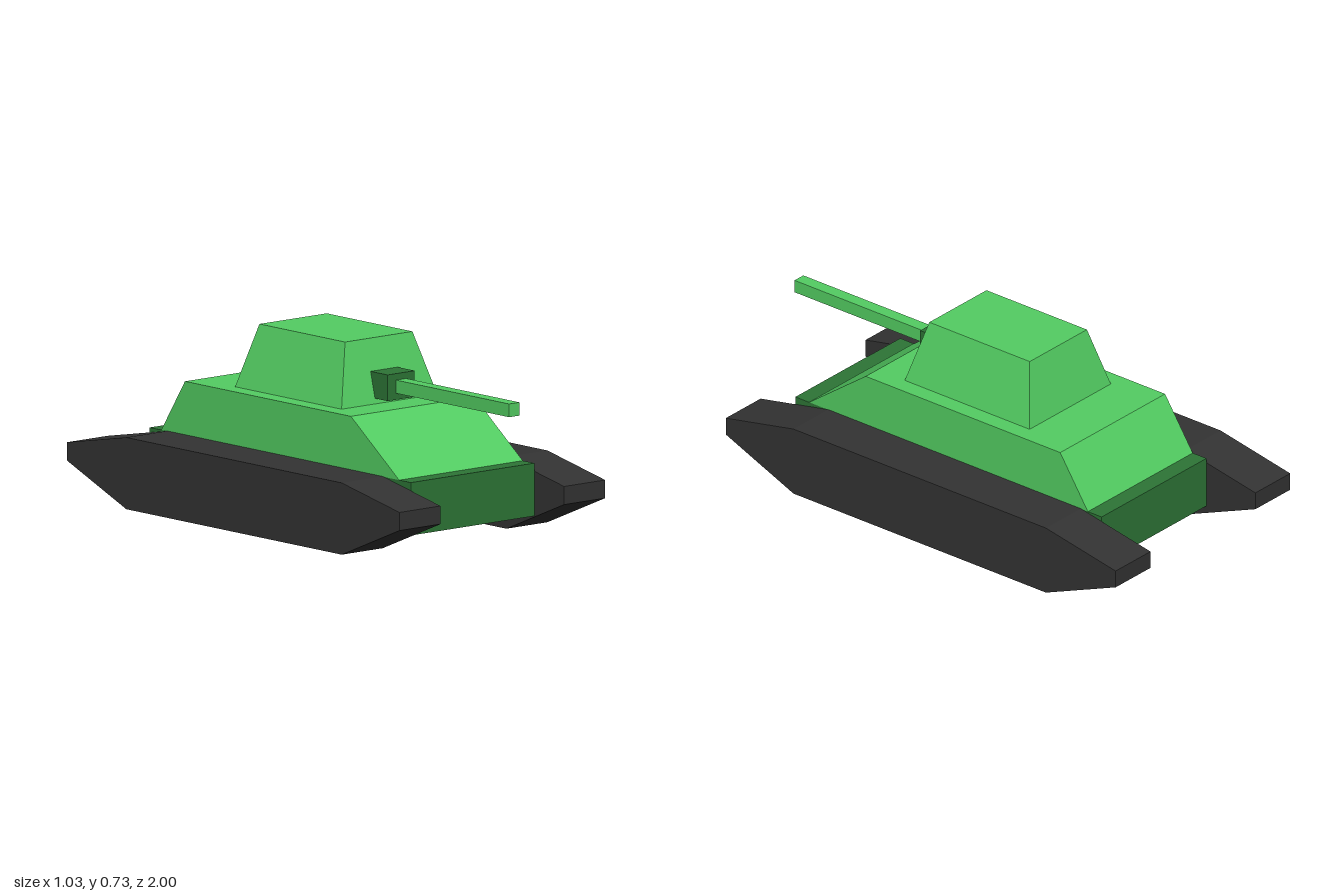
import * as THREE from 'three';

const lightGreen = new THREE.MeshStandardMaterial({ color: 0x53cd62 });
lightGreen.name = 'light green';
const darkGreen = new THREE.MeshStandardMaterial({ color: 0x2d7536 });
darkGreen.name = 'dark green';
const trackGrey = new THREE.MeshStandardMaterial({ color: 0x333333 });
trackGrey.name = 'track grey';

// Side profile of [z, y] points, extruded across x and centred on x = 0
function sideExtrude(points, width) {
  const shape = new THREE.Shape(points.map(([z, y]) => new THREE.Vector2(z, y)));
  const geometry = new THREE.ExtrudeGeometry(shape, { depth: width, bevelEnabled: false });
  return geometry.translate(0, 0, -width / 2).rotateY(-Math.PI / 2);
}

// Box given by its half width and its y and z ranges
function boxBetween(halfX, y0, y1, z0, z1) {
  return new THREE.BoxGeometry(halfX * 2, y1 - y0, z1 - z0)
    .translate(0, (y0 + y1) / 2, (z0 + z1) / 2);
}

// Box whose top face is narrowed in x and z
function taperedBox(halfX, y0, y1, z0, z1, topHalfX, topZ0, topZ1) {
  const geometry = boxBetween(halfX, y0, y1, z0, z1);
  const p = geometry.attributes.position;
  const mid = (y0 + y1) / 2;
  const midZ = (z0 + z1) / 2;
  for (let i = 0; i < p.count; i++) {
    if (p.getY(i) < mid) continue;
    p.setX(i, Math.sign(p.getX(i)) * topHalfX);
    p.setZ(i, p.getZ(i) > midZ ? topZ1 : topZ0);
  }
  geometry.computeVertexNormals();
  return geometry;
}

export function createModel() {
  const model = new THREE.Group();
  model.name = 'tank';
  const add = (name, geometry, material, x = 0) => {
    const mesh = new THREE.Mesh(geometry, material);
    mesh.name = name;
    mesh.position.x = x;
    model.add(mesh);
  };

  // Tracks
  const track = sideExtrude([
    [0.595, 0.005], [0.93, 0.14], [0.93, 0.21], [0.595, 0.277],
    [-0.655, 0.277], [-1, 0.21], [-1, 0.14], [-0.655, 0.005],
  ].map(([z, y]) => [z, y === 0.005 ? 0 : y]), 0.206);
  add('leftTrack', track, trackGrey, 0.413);
  add('rightTrack', track, trackGrey, -0.413);

  // Hull
  add('lowerHull', boxBetween(0.31, 0.072, 0.276, -0.758, 0.758), darkGreen);
  add('upperHull', sideExtrude([
    [0.69, 0.276], [0.41, 0.483], [-0.553, 0.483], [-0.69, 0.276],
  ], 0.62), lightGreen);

  // Turret and gun
  add('turret', taperedBox(0.24, 0.483, 0.725, -0.343, 0.275, 0.169, -0.284, 0.213), lightGreen);
  add('gunMantlet', boxBetween(0.068, 0.503, 0.604, 0.2, 0.343), darkGreen);
  add('gunBarrel', boxBetween(0.026, 0.528, 0.579, 0.3, 1), lightGreen);

  return model;
}
